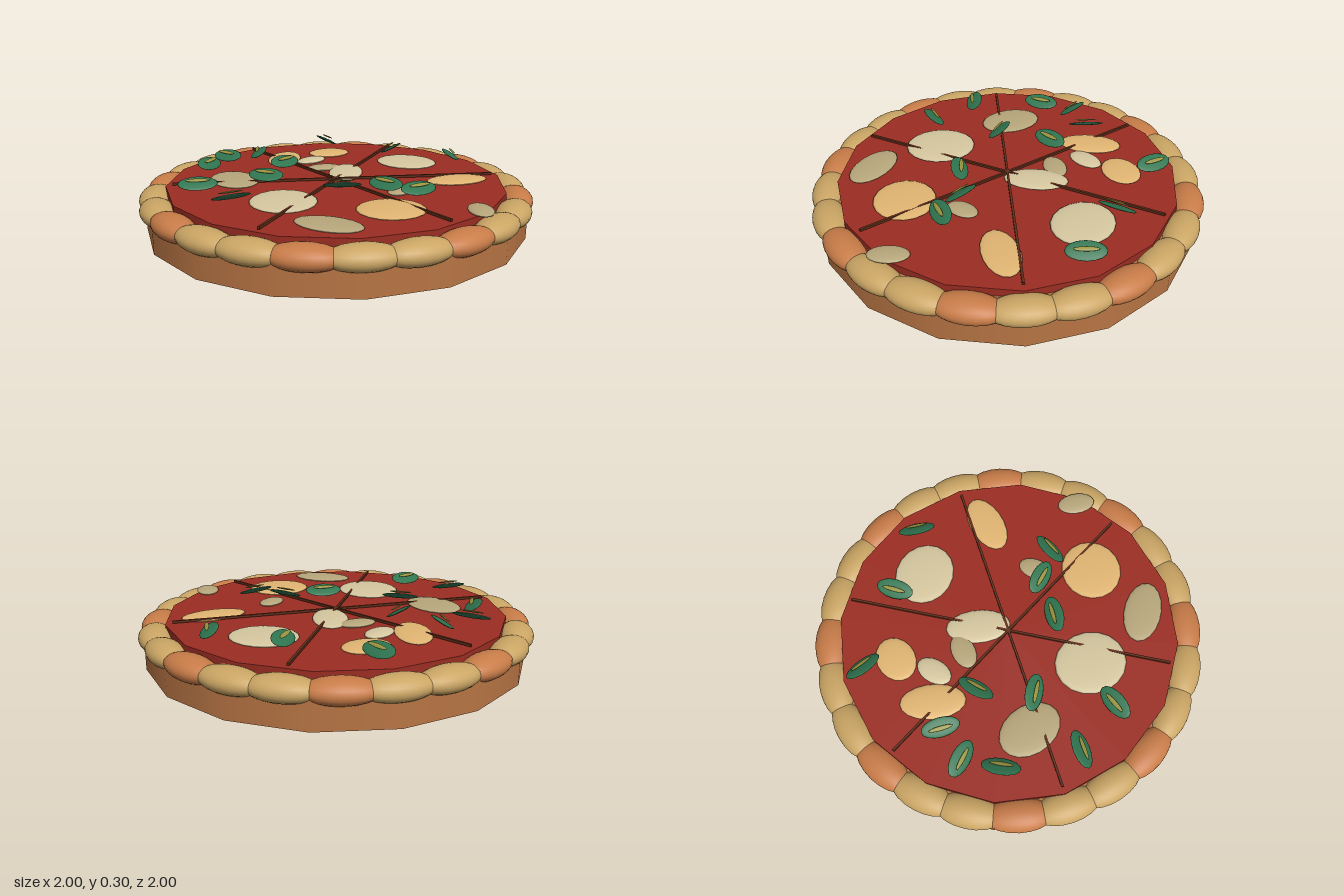
import * as THREE from 'three';

const mat = (color) => new THREE.MeshStandardMaterial({ color });

export function createModel() {
  const model = new THREE.Group();
  const add = (name, geometry, material, parent = model) => {
    const mesh = new THREE.Mesh(geometry, material);
    mesh.name = name;
    parent.add(mesh);
    return mesh;
  };

  // Dough base and raised sauce disc
  add('doughBase', new THREE.CylinderGeometry(0.97, 0.97, 0.18, 16), mat(0xb87544)).position.y = 0.09;
  add('sauce', new THREE.CylinderGeometry(0.865, 0.865, 0.04, 16), mat(0x9c2d22)).position.y = 0.202;

  // Ring of overlapping crust puffs, every third one browner
  const crust = new THREE.Group();
  crust.name = 'crust';
  model.add(crust);
  const puffGeometry = new THREE.SphereGeometry(1, 20, 14);
  const tan = mat(0xcaa564), toasted = mat(0xc87c48);
  for (let i = 0; i < 24; i++) {
    const a = (i / 24) * Math.PI * 2;
    const puff = add('crustPuff', puffGeometry, i % 3 === 1 ? toasted : tan, crust);
    puff.position.set(Math.sin(a) * 0.912, 0.16, -Math.cos(a) * 0.912);
    puff.rotation.y = -a;
    puff.scale.set(0.17, 0.06, 0.086);
  }

  // Three slicing lines through the centre
  const cutMaterial = mat(0x5f2c18);
  for (let i = 0; i < 3; i++) {
    const cut = add('sliceCut', new THREE.BoxGeometry(1.66, 0.012, 0.012), cutMaterial);
    cut.position.y = 0.233;
    cut.rotation.y = (i * Math.PI) / 3;
  }

  // Melted cheese: x, z, long radius, short radius, turn in degrees, shade
  const cheeseShades = [mat(0xe2b673), mat(0xd6c8a0), mat(0xb8a77c)];
  const cheeseGeometry = new THREE.SphereGeometry(1, 18, 10);
  [
    [-0.24, -0.47, 0.165, 0.09, 77, 0],
    [0.03, -0.585, 0.12, 0.097, 15, 0],
    [-0.09, -0.42, 0.095, 0.06, 40, 1],
    [-0.035, -0.25, 0.095, 0.06, 8, 2],
    [0.07, -0.14, 0.165, 0.09, 78, 1],
    [0.44, -0.32, 0.17, 0.15, -40, 1],
    [0.62, 0.08, 0.165, 0.09, 10, 0],
    [-0.52, -0.06, 0.165, 0.12, 108, 2],
    [-0.29, 0.34, 0.183, 0.162, 90, 1],
    [0.19, 0.52, 0.163, 0.155, 0, 0],
    [-0.115, 0.69, 0.165, 0.095, -33, 2],
    [0.29, 0.24, 0.085, 0.055, 50, 2],
    [0.59, 0.58, 0.1, 0.06, 84, 2],
  ].forEach(([x, z, long, short, turn, shade]) => {
    const blob = add('cheese', cheeseGeometry, cheeseShades[shade]);
    blob.position.set(x, 0.228, z);
    blob.rotation.y = THREE.MathUtils.degToRad(turn);
    blob.scale.set(long, 0.014, short);
  });

  // Tilted herb leaves: x, z, and the direction (x, z) each one leans to
  const leafGeometry = new THREE.SphereGeometry(1, 16, 10);
  const leafMaterial = mat(0x2f7550), veinMaterial = mat(0x97943f);
  [
    [0.03, -0.75, 0.93, -0.36],
    [0.385, -0.49, -0.83, -0.56],
    [0.685, -0.29, 1, 0.08],
    [-0.385, -0.47, -1, -0.03],
    [-0.56, -0.42, -0.7, 0.7],
    [-0.655, -0.25, 0.89, 0.45],
    [-0.25, -0.25, 0.67, 0.74],
    [-0.36, 0.015, -0.5, 0.86],
    [-0.695, 0.14, 0.02, 1],
    [-0.53, 0.375, -0.36, -0.93],
    [0, 0.245, 0.05, -1],
    [0.215, 0.245, -0.72, 0.68],
    [0.355, 0.345, 0.35, 0.92],
  ].forEach(([x, z, leanX, leanZ]) => {
    const herb = new THREE.Group();
    herb.name = 'herbLeaf';
    herb.position.set(x, 0.27, z);
    herb.rotation.set(0.48, Math.atan2(leanX, leanZ), 0, 'YXZ');
    model.add(herb);
    add('leafBlade', leafGeometry, leafMaterial, herb).scale.set(0.097, 0.008, 0.05);
    const vein = add('leafVein', leafGeometry, veinMaterial, herb);
    vein.position.y = 0.022;
    vein.scale.set(0.06, 0.004, 0.012);
  });

  return model;
}
